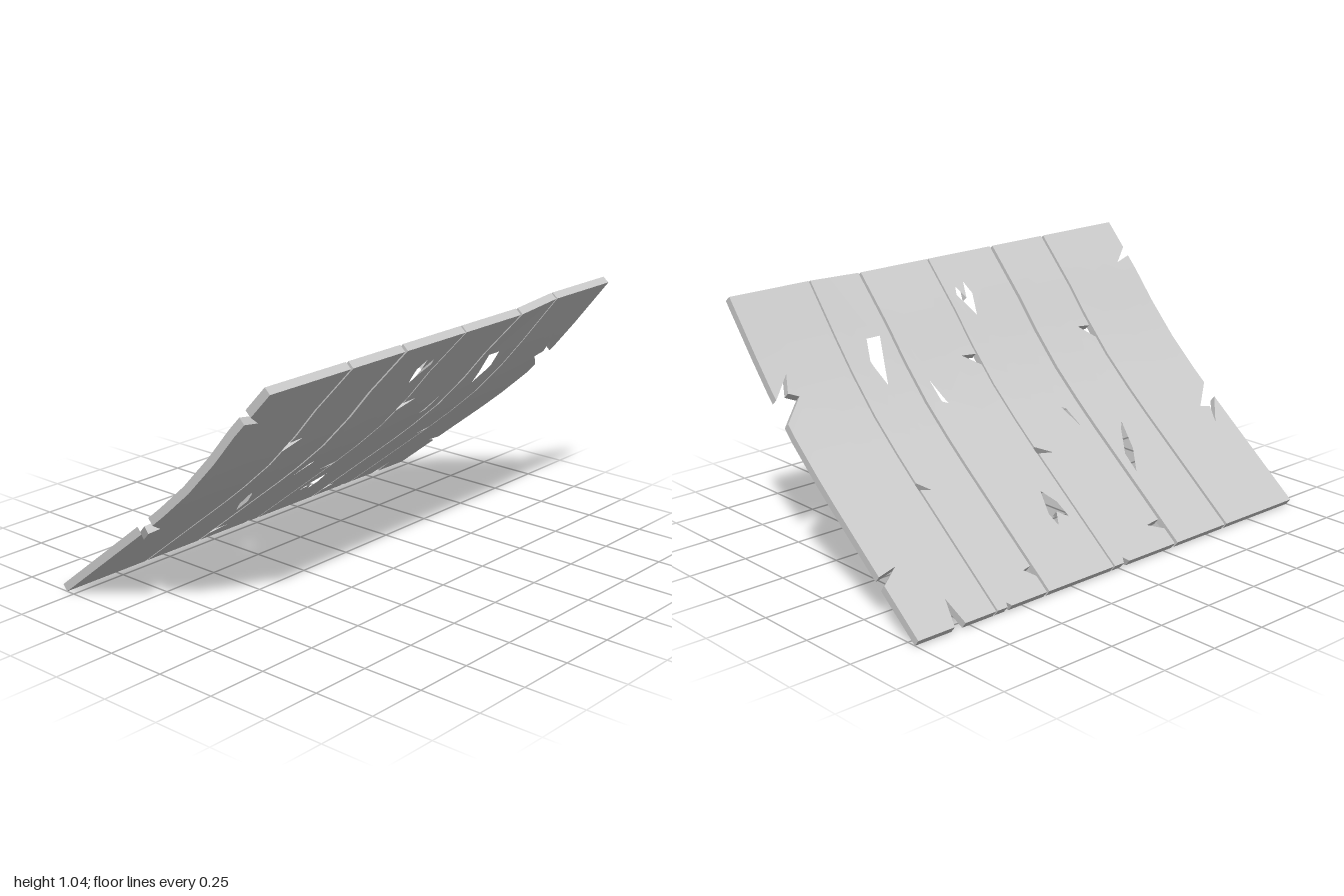
import * as THREE from 'three';
import { toCreasedNormals } from 'three/addons/utils/BufferGeometryUtils.js';

const THICK = 0.032, BACK = -0.558, FRONT = 0.53;

// Side profile of the upper surface: [z, y]
const PROFILE = [[BACK, 0.028], [-0.1, 0.393], [0, 0.476], [0.13, 0.592], [0.26, 0.73], [0.36, 0.85], [FRONT, 1.033]];

// Planks in plan (x, z). Edge notches are listed clockwise: back, right, front, left.
const PLANKS = [
  { x: [-1, -0.6],
    left: [[-1, 0.44], [-0.92, 0.395], [-1, 0.41], [-1, -0.06], [-0.89, -0.14], [-0.94, -0.15], [-0.91, -0.21], [-1, -0.12]] },
  { x: [-0.588, -0.31],
    left: [[-0.588, 0.23], [-0.525, 0.235], [-0.588, 0.19]],
    holes: [[[-0.35, -0.29], [-0.355, -0.22], [-0.42, -0.13], [-0.445, -0.11], [-0.41, -0.21]]] },
  { x: [-0.295, 0.037],
    back: [[-0.04, BACK], [-0.02, -0.54], [-0.01, BACK]],
    right: [[0.037, -0.13], [-0.03, -0.14], [0.037, -0.105]],
    left: [[-0.295, -0.465], [-0.225, -0.47], [-0.295, -0.5]],
    holes: [
      [[-0.24, -0.085], [-0.205, 0], [-0.225, -0.01]],
      [[-0.085, 0.4], [-0.053, 0.335], [-0.005, 0.405], [-0.02, 0.43], [-0.045, 0.39], [-0.07, 0.44]],
    ] },
  { x: [0.045, 0.38],
    left: [[0.045, 0.23], [0.115, 0.235], [0.045, 0.195]],
    holes: [
      [[0.09, -0.36], [0.13, -0.33], [0.16, -0.375], [0.17, -0.33], [0.14, -0.25], [0.1, -0.3]],
      [[0.29, 0.11], [0.315, 0.12], [0.32, 0.19]],
    ] },
  { x: [0.392, 0.633],
    back: [[0.565, BACK], [0.58, -0.543], [0.587, BACK]],
    right: [[0.633, -0.13], [0.588, -0.14], [0.633, -0.105]],
    left: [[0.392, -0.465], [0.43, -0.47], [0.392, -0.5]],
    holes: [[[0.51, 0.205], [0.535, 0.28], [0.505, 0.34], [0.44, 0.34]]] },
  { x: [0.641, 1],
    back: [[0.785, BACK], [0.805, -0.47], [0.835, BACK]],
    right: [[1, -0.375], [0.915, -0.33], [1, -0.345], [1, 0.17], [0.9, 0.235], [0.94, 0.25], [0.91, 0.3], [1, 0.24]] },
];

// Upper surface point [z, y]; the planks on the left curl up slightly more at the front
function surface(x, z) {
  let i = 0;
  while (i < PROFILE.length - 2 && z > PROFILE[i + 1][0]) i++;
  const [a, b] = [PROFILE[i], PROFILE[i + 1]];
  const y = a[1] + (b[1] - a[1]) * (z - a[0]) / (b[0] - a[0]);
  const curl = THREE.MathUtils.clamp((x - 0.39) / 0.24, 0, 1) * Math.max(0, (z - 0.36) / 0.17);
  return [z - 0.015 * curl, y + 0.012 * curl];
}

// Cut every triangle along the line y = c so the board can bend there
function slice(tris, c) {
  const out = [];
  for (const t of tris) {
    const side = t.map(p => Math.abs(p.y - c) < 1e-6 ? 0 : Math.sign(p.y - c));
    if (!(side.includes(1) && side.includes(-1))) { out.push(t); continue; }
    for (const s of [1, -1]) {
      const poly = [];
      for (let i = 0; i < 3; i++) {
        const j = (i + 1) % 3, p = t[i], q = t[j];
        if (side[i] !== -s) poly.push(p);
        if (side[i] * side[j] < 0) poly.push(p.clone().lerp(q, (c - p.y) / (q.y - p.y)));
      }
      for (let k = 1; k < poly.length - 1; k++) out.push([poly[0], poly[k], poly[k + 1]]);
    }
  }
  return out;
}

// Place a flat board point on the curve, offset along the surface normal
function bend(p) {
  const z = -p.y, e = 0.02;
  const [sz, sy] = surface(p.x, z);
  const a = surface(p.x, Math.max(BACK, z - e)), b = surface(p.x, Math.min(FRONT, z + e));
  const dz = b[0] - a[0], dy = b[1] - a[1], len = Math.hypot(dz, dy), d = p.z - THICK;
  return new THREE.Vector3(p.x, sy + d * dz / len, sz - d * dy / len);
}

function plankGeometry({ x: [x0, x1], back = [], right = [], left = [], holes = [] }) {
  const flat = pts => pts.map(([x, z]) => new THREE.Vector2(x, -z));
  const shape = new THREE.Shape(flat([
    [x0, BACK], ...back, [x1, BACK], ...right, [x1, FRONT], [x0, FRONT], ...left,
  ]));
  shape.holes = holes.map(h => new THREE.Path(flat(h)));
  const board = new THREE.ExtrudeGeometry(shape, { depth: THICK, bevelEnabled: false });
  const pos = board.attributes.position;
  let tris = [];
  for (let i = 0; i < pos.count; i += 3) {
    tris.push([0, 1, 2].map(k => new THREE.Vector3().fromBufferAttribute(pos, i + k)));
  }
  for (const [z] of PROFILE.slice(1, -1)) tris = slice(tris, -z);
  const geometry = new THREE.BufferGeometry().setFromPoints(tris.flat().map(bend));
  return toCreasedNormals(geometry, 0.5);
}

export function createModel() {
  const model = new THREE.Group();
  model.name = 'curvedPlankPanel';
  const material = new THREE.MeshStandardMaterial({ color: 0xcccccc });
  PLANKS.forEach((plank, i) => {
    const mesh = new THREE.Mesh(plankGeometry(plank), material);
    mesh.name = `plank${i + 1}`;
    model.add(mesh);
  });
  return model;
}
